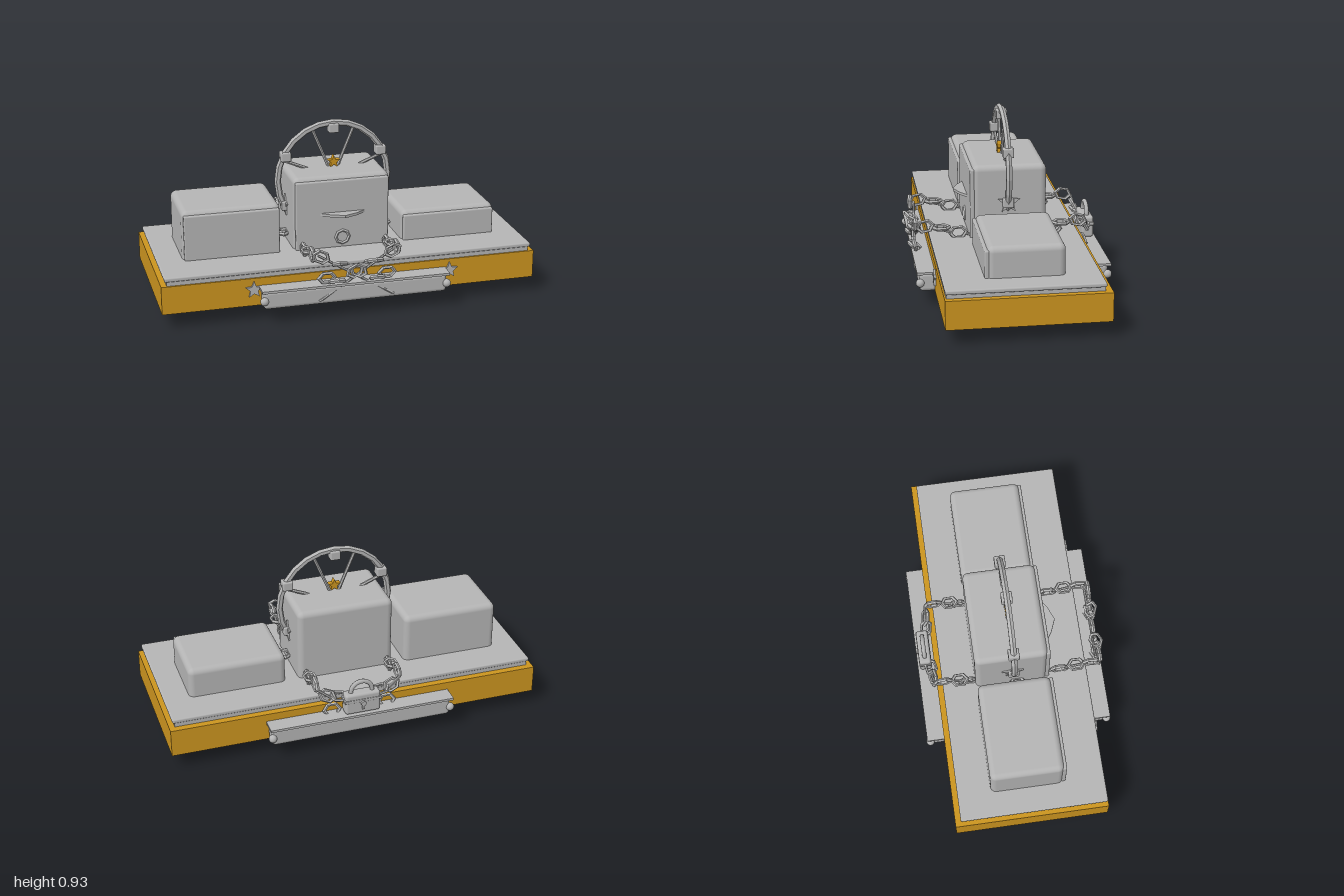
import * as THREE from 'three';
import { RoundedBoxGeometry } from 'three/addons/geometries/RoundedBoxGeometry.js';

export function createModel() {
  const model = new THREE.Group();
  const grey = new THREE.MeshStandardMaterial({ color: 0xb4b4b4 });
  grey.name = 'greyMetal';
  const gold = new THREE.MeshStandardMaterial({ color: 0xcb941f });
  gold.name = 'gold';

  const add = (name, geo, x = 0, y = 0, z = 0, mat = grey, parent = model) => {
    const m = new THREE.Mesh(geo, mat);
    m.name = name;
    m.position.set(x, y, z);
    parent.add(m);
    return m;
  };
  // Box given by its limits; r rounds the edges
  const block = (name, x0, x1, y0, y1, z0, z1, r = 0, mat = grey) => {
    const s = [x1 - x0, y1 - y0, z1 - z0];
    const geo = r ? new RoundedBoxGeometry(...s, 3, r) : new THREE.BoxGeometry(...s);
    return add(name, geo, (x0 + x1) / 2, (y0 + y1) / 2, (z0 + z1) / 2, mat);
  };
  const flat = (geo) => {
    const g = geo.index ? geo.toNonIndexed() : geo;
    g.computeVertexNormals();
    return g;
  };
  const rod = (name, a, b, r = 0.007) => {
    const p = new THREE.Vector3(...a), q = new THREE.Vector3(...b), d = q.clone().sub(p);
    const m = add(name, flat(new THREE.CylinderGeometry(r, r, d.length(), 6)));
    m.position.copy(p).add(q).multiplyScalar(0.5);
    m.quaternion.setFromUnitVectors(new THREE.Vector3(0, 1, 0), d.normalize());
    return m;
  };
  const starGeometry = (r, depth) => {
    const s = new THREE.Shape();
    for (let i = 0; i < 10; i++) {
      const a = Math.PI / 2 + i * Math.PI / 5, k = i % 2 ? r * 0.45 : r;
      s[i ? 'lineTo' : 'moveTo'](Math.cos(a) * k, Math.sin(a) * k);
    }
    return new THREE.ExtrudeGeometry(s, { depth, bevelEnabled: false }).translate(0, 0, -depth / 2);
  };
  const linkGeo = flat(new THREE.TorusGeometry(0.037, 0.01, 5, 6).scale(1.15, 0.85, 1.1));
  const link = (x, y, z, rx = 0, ry = 0, rz = 0) =>
    add('chainLink', linkGeo, x, y, z).rotation.set(rx, ry, rz);

  // Base and stepped platform
  block('base', -1, 1, 0.09, 0.24, -0.42, 0.4, 0, gold);
  block('lowerPlatform', -0.97, 0.97, 0.24, 0.262, -0.385, 0.392);
  block('upperPlatform', -0.982, 0.982, 0.262, 0.285, -0.39, 0.397, 0.008);

  // Underside sheet and access panel
  const sheet = new THREE.Shape([[1, 0.42], [-0.7, 0.42], [-0.3, -0.4], [1, -0.4]]
    .map(([x, y]) => new THREE.Vector2(x, y)));
  const sheetMesh = add('undersideSheet', new THREE.ShapeGeometry(sheet).rotateX(-Math.PI / 2), 0, 0.0885, 0,
    grey.clone());
  sheetMesh.material = grey;
  sheetMesh.geometry.scale(1, -1, 1);
  const idx = sheetMesh.geometry.index.array;
  for (let i = 0; i < idx.length; i += 3) [idx[i], idx[i + 1]] = [idx[i + 1], idx[i]];
  sheetMesh.geometry.computeVertexNormals();
  block('undersidePanel', -0.47, 0.47, 0.082, 0.092, -0.33, 0.32);

  // Three rounded cases with front plates
  for (const [name, x, w, top] of [['rightCase', -0.59, 0.52, 0.547], ['centreCase', 0, 0.52, 0.675],
    ['leftCase', 0.59, 0.52, 0.445]]) {
    block(name, x - w / 2, x + w / 2, 0.25, top, -0.212, 0.176, 0.032);
    block(name + 'FrontPlate', x - w / 2 + 0.008, x + w / 2 - 0.008, 0.28, top - 0.02, 0.165, 0.19, 0.008);
  }

  // Pointed shelf and round dial on the centre case
  const shelf = new THREE.Shape([[-0.135, -0.18], [0.135, -0.18], [0.07, -0.225], [0, -0.253], [-0.07, -0.225]]
    .map(([x, y]) => new THREE.Vector2(x, y)));
  add('frontShelf', new THREE.ExtrudeGeometry(shelf, { depth: 0.014, bevelEnabled: false })
    .rotateX(-Math.PI / 2), 0, 0.466, 0);
  add('frontDial', flat(new THREE.TorusGeometry(0.036, 0.008, 4, 8)), 0, 0.34, 0.19);

  // Upright wheel
  const wheel = new THREE.Group();
  wheel.name = 'wheel';
  wheel.position.set(0, 0.61, -0.008);
  model.add(wheel);
  add('wheelRim', flat(new THREE.TorusGeometry(0.303, 0.018, 6, 24)), 0, 0, 0, grey, wheel);
  for (let i = 0; i < 6; i++) {
    const a = Math.PI / 6 + i * Math.PI / 3;
    add('rimBlock', new RoundedBoxGeometry(0.055, 0.05, 0.058, 2, 0.007),
      Math.cos(a) * 0.3, Math.sin(a) * 0.27 + (i % 3 === 1 ? Math.sign(Math.sin(a)) * 0.005 : 0), 0, grey, wheel);
  }
  for (let i = 0; i < 8; i++) {
    const a = Math.PI / 8 + i * Math.PI / 4;
    const s = add('spoke', flat(new THREE.CylinderGeometry(0.009, 0.009, 0.29, 6)),
      Math.cos(a) * 0.15, Math.sin(a) * 0.15, 0, grey, wheel);
    s.rotation.z = a - Math.PI / 2;
  }
  add('topStar', starGeometry(0.035, 0.03), 0, 0.7, 0, gold);

  // Bars along the front and back edges
  for (const [end, s, z] of [['front', 1, 0.4], ['back', -1, 0.42]]) {
    const at = (a, b) => s > 0 ? [z + a, z + b] : [-z - b, -z - a];
    block(end + 'Bar', -0.488, 0.488, 0.09, 0.19, ...at(-0.01, 0.078), 0.02);
    block(end + 'BarLip', -0.5, 0.5, 0.185, 0.198, ...at(0, 0.092));
    for (const x of [-0.487, 0.487])
      add(end + 'Knob', new THREE.SphereGeometry(0.022, 16, 12), x, 0.138, s * (z + 0.076));
  }

  for (const s of [-1, 1]) {
    // Stars
    add('frontStar', starGeometry(0.046, 0.016), s * 0.525, 0.18, 0.404);
    add('sideStar', starGeometry(0.06, 0.012).rotateY(Math.PI / 2), s * 0.262, 0.475, -0.012);
    // Chain rods over the platform
    const x = s * 0.225;
    link(s * 0.285, 0.33, s * -0.012, Math.PI / 2, 0, Math.PI / 2);
    rod('chainRod', [x, 0.29, 0.17], [x, 0.305, 0.22]);
    rod('chainRod', [x, 0.31, 0.28], [x, 0.345, 0.4]);
    rod('chainRod', [x, 0.29, -0.19], [x, 0.305, -0.24]);
    rod('chainRod', [x, 0.31, -0.24], [x, 0.345, -0.36]);
    link(x, 0.31, 0.25, 0, Math.PI / 2, 0.1);
    link(x, 0.35, 0.425, 0, Math.PI / 2, 0.2);
    link(x, 0.31, -0.25, 0, Math.PI / 2, -0.1);
    link(x, 0.35, -0.385, 0, Math.PI / 2, -0.2);
    link(x, 0.34, 0.34, Math.PI / 2, 0, Math.PI / 2);
    link(x, 0.34, -0.295, Math.PI / 2, 0, Math.PI / 2);
    // Crossing strand on the front
    rod('crossRod', [s * 0.2, 0.35, 0.45], [-s * 0.2, 0.11, 0.478]);
    for (let i = 0; i < 4; i++) {
      const t = i / 3.6;
      link(s * (0.19 - 0.36 * t), 0.35 - 0.17 * t, 0.472, i % 2 ? 1.1 : 0, 0, s * 0.45);
    }
    link(s * 0.16, 0.235, 0.475, 0.2, 0, 0);
    // Back strand towards the lock
    rod('backRod', [x, 0.34, -0.43], [s * 0.16, 0.29, -0.44]);
    link(s * 0.175, 0.3, -0.435, 0.5, 0, s * 0.4);
    link(s * 0.115, 0.29, -0.44, 1.2, 0, s * 0.2);
    link(s * 0.15, 0.21, -0.435, 0.3, 0, 0);
  }

  // Padlocks behind the base and beneath it
  for (const [name, y, z] of [['backLock', 0.2, -0.467], ['lowerLock', 0.005, -0.005]]) {
    block(name + 'Body', -0.095, 0.095, y, y + 0.117, z - 0.032, z + 0.032, 0.014);
    block(name + 'Collar', -0.1, 0.1, y + 0.068, y + 0.086, z - 0.034, z + 0.034, 0.004);
    add(name + 'Shackle', new THREE.TorusGeometry(0.058, 0.012, 8, 16, Math.PI), 0, y + 0.117, z);
    add(name + 'Keyhole', new THREE.CylinderGeometry(0.014, 0.014, 0.014, 12).rotateX(Math.PI / 2),
      0, y + 0.062, z - 0.037);
    block(name + 'KeySlot', -0.006, 0.006, y + 0.028, y + 0.06, z - 0.042, z - 0.03);
  }
  link(0, 0.075, 0.05, 0, Math.PI / 2, 0.2);
  model.updateMatrixWorld(true);
  return model;
}
